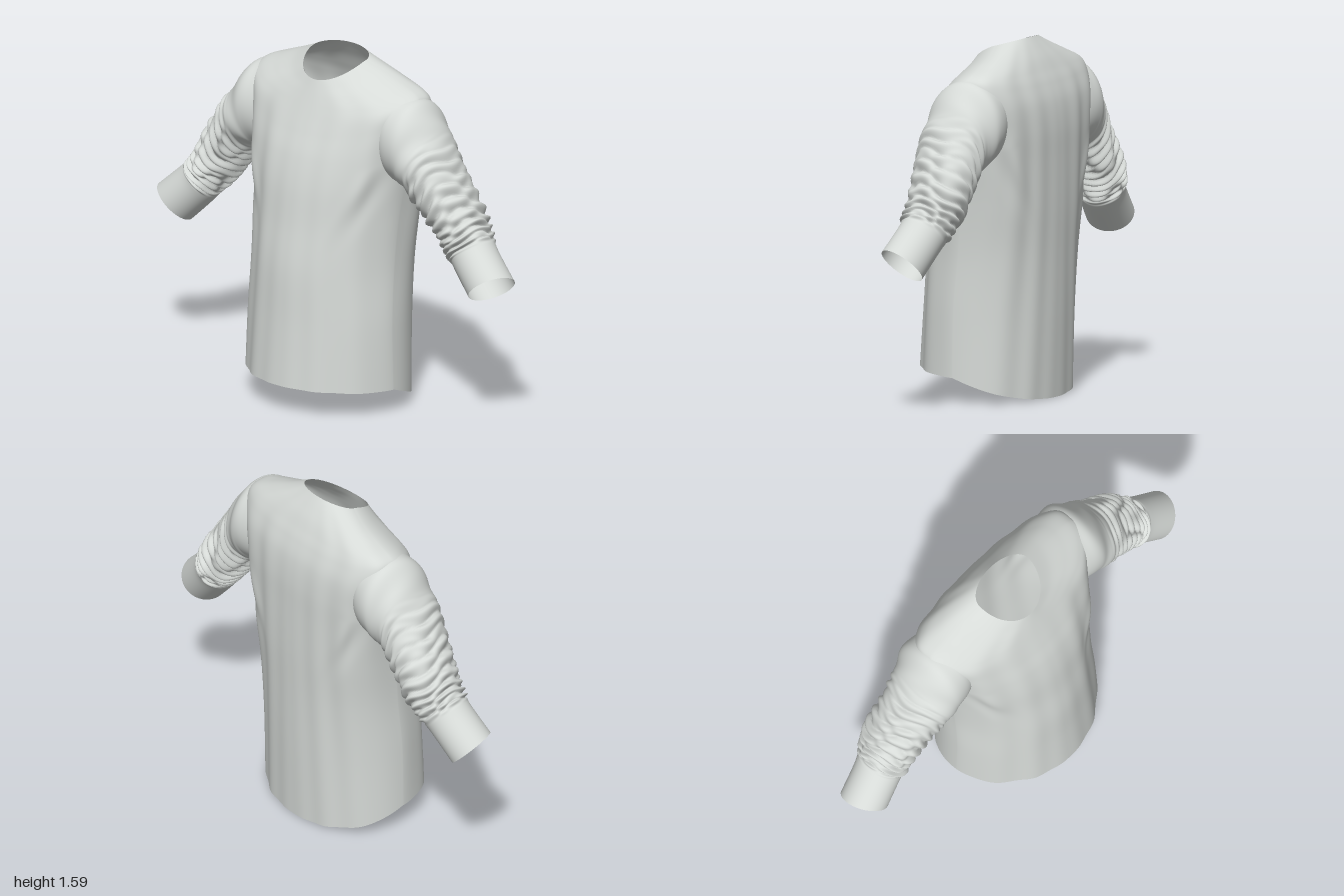
import * as THREE from 'three';

// Smooth (Catmull-Rom) lookup in a list of cross-section rows, t in 0..1
function sample(rows, t) {
  const f = t * (rows.length - 1);
  const i = Math.min(Math.floor(f), rows.length - 2);
  const k = f - i;
  const at = (n) => rows[Math.max(0, Math.min(rows.length - 1, n))];
  return rows[i].map((b, c) => {
    const a = at(i - 1)[c], d = at(i + 1)[c], e = at(i + 2)[c];
    return b + 0.5 * k * (d - a + k * (2 * a - 5 * b + 4 * d - e + k * (3 * (b - d) + e - a)));
  });
}

// Open tube made of closed rings; point(t, angle) returns [x, y, z]
function loft(rings, sides, point, flip) {
  const pos = [], idx = [];
  for (let i = 0; i <= rings; i++) {
    for (let j = 0; j < sides; j++) pos.push(...point(i / rings, (j / sides) * Math.PI * 2));
  }
  for (let i = 0; i < rings; i++) {
    for (let j = 0; j < sides; j++) {
      const a = i * sides + j, b = i * sides + ((j + 1) % sides);
      const c = a + sides, d = b + sides;
      if (flip) idx.push(a, c, b, b, c, d);
      else idx.push(a, b, c, b, d, c);
    }
  }
  const geo = new THREE.BufferGeometry();
  geo.setAttribute('position', new THREE.Float32BufferAttribute(pos, 3));
  geo.setIndex(idx);
  geo.computeVertexNormals();
  return geo;
}

const bump = (v, mid, width) => Math.exp(-(((v - mid) / width) ** 2));
const { smoothstep } = THREE.MathUtils;

// Body rows: half width, side z, front z, back z, side y, front y, back y,
// front and back roundness (lower is boxier)
const BODY = [
  [0.392, 0.0, 0.325, -0.30, 0.11, 0.125, 0.0, 1.2, 0.82],
  [0.385, 0.0, 0.305, -0.31, 0.40, 0.40, 0.35, 1.2, 0.78],
  [0.378, -0.02, 0.29, -0.315, 0.65, 0.65, 0.63, 1.2, 0.66],
  [0.387, -0.04, 0.26, -0.32, 0.88, 0.85, 0.85, 1.1, 0.52],
  [0.403, -0.07, 0.235, -0.32, 1.06, 1.02, 1.06, 0.92, 0.45],
  [0.42, -0.09, 0.203, -0.318, 1.20, 1.15, 1.20, 0.82, 0.43],
  [0.445, -0.10, 0.166, -0.305, 1.33, 1.25, 1.31, 0.8, 0.43],
  [0.458, -0.10, 0.139, -0.28, 1.415, 1.32, 1.39, 0.84, 0.48],
  [0.43, -0.11, 0.12, -0.255, 1.453, 1.37, 1.445, 0.9, 0.55],
  [0.34, -0.11, 0.105, -0.23, 1.488, 1.41, 1.495, 0.95, 0.7],
  [0.24, -0.105, 0.092, -0.20, 1.525, 1.445, 1.542, 1.0, 0.85],
  [0.155, -0.085, 0.08, -0.17, 1.56, 1.478, 1.585, 1.0, 1.0],
];

function bodyPoint(t, angle) {
  const [w, zs, zf, zb, ys, yf, yb, roundF, roundB] = sample(BODY, t);
  const c = Math.cos(angle), s = Math.sin(angle), m = Math.abs(s);
  const front = s >= 0;
  const reach = m ** (front ? roundF : roundB);
  let x = w * c;
  let z = zs + ((front ? zf : zb) - zs) * reach;
  const y = ys + (front ? (yf - ys) * m ** 1.3 : (yb - ys) * reach);
  // Soft hanging folds, fading out at the neck, the sides and the centre line
  const drape = Math.min(1, (1 - t) * 2) * Math.abs(c) * m * 1.5;
  let fold = 0.006 * drape * Math.sin(Math.abs(c) * 17 + y * 1.2);
  // Creases pulling down and inward from the armpits
  const line = Math.abs(x) - (0.40 - Math.max(0, 1.14 - y) * 0.42);
  fold -= 0.016 * bump(line, 0, 0.03) * bump(y, 1.02, 0.14) * m;
  fold += 0.010 * bump(line, -0.06, 0.03) * bump(y, 1.04, 0.14) * m;
  x += fold * c;
  z += fold * s;
  return [x, y, z];
}

// Sleeve rows: outer x, outer y, inner x, inner y, centre z, half depth
const SLEEVE = [
  [0.33, 1.465, 0.30, 1.10, -0.095, 0.145],
  [0.41, 1.445, 0.36, 1.06, -0.095, 0.172],
  [0.475, 1.425, 0.41, 1.045, -0.095, 0.18],
  [0.54, 1.345, 0.435, 1.04, -0.09, 0.172],
  [0.61, 1.25, 0.49, 1.00, -0.082, 0.156],
  [0.70, 1.12, 0.56, 0.92, -0.088, 0.14],
  [0.785, 0.985, 0.63, 0.84, -0.095, 0.132],
  [0.83, 0.91, 0.69, 0.775, -0.085, 0.12],
  [0.885, 0.855, 0.735, 0.715, -0.07, 0.105],
  [1.0, 0.75, 0.84, 0.61, -0.045, 0.103],
];

function sleevePoint(t, angle) {
  const [ox, oy, ix, iy, cz, rz] = sample(SLEEVE, t);
  const c = Math.cos(angle), s = Math.sin(angle);
  // Bunched fabric between upper arm and cuff, with wandering sharp folds
  const gather = smoothstep(t, 0.36, 0.5) * (1 - smoothstep(t, 0.8, 0.86));
  const p1 = t * 72 + 1.5 * Math.sin(angle + 0.6) + 1.1 * Math.sin(angle * 3 + t * 10);
  const p2 = t * 120 - 1.7 * Math.sin(angle * 2 + 1.0) + Math.sin(angle * 4 - t * 16);
  const crease = 0.55 - Math.abs(Math.sin(p1));
  let fold = gather * (-0.016 * crease + 0.006 * Math.sin(p2));
  // Broad creases on the upper sleeve
  fold += 0.006 * bump(t, 0.36, 0.08) * Math.sin(angle * 3 + t * 25);
  const half = Math.hypot(ox - ix, oy - iy) / 2;
  const k = 1 + fold / half;
  // The forearm bends forward, so the cuff opening turns slightly to the front
  const tilt = 0.03 * smoothstep(t, 0.7, 1) * s;
  return [
    (ox + ix) / 2 + ((ox - ix) / 2) * c * k - 0.66 * tilt,
    (oy + iy) / 2 + ((oy - iy) / 2) * c * k + 0.75 * tilt,
    cz + (rz + fold) * s,
  ];
}

export function createModel() {
  const group = new THREE.Group();
  group.name = 'longSleeveShirt';
  const fabric = new THREE.MeshStandardMaterial({ color: 0xd6dad7, side: THREE.DoubleSide });
  fabric.name = 'lightGreyFabric';

  const add = (name, geo) => {
    const mesh = new THREE.Mesh(geo, fabric);
    mesh.name = name;
    group.add(mesh);
  };

  // Torso, open at hem and neck
  add('shirtBody', loft(110, 160, bodyPoint, true));

  // Mirrored sleeves, open at the cuffs
  for (const side of [1, -1]) {
    const point = (t, a) => {
      const [x, y, z] = sleevePoint(t, a);
      return [x * side, y, z];
    };
    add(side > 0 ? 'leftSleeve' : 'rightSleeve', loft(200, 72, point, side < 0));
  }
  return group;
}
